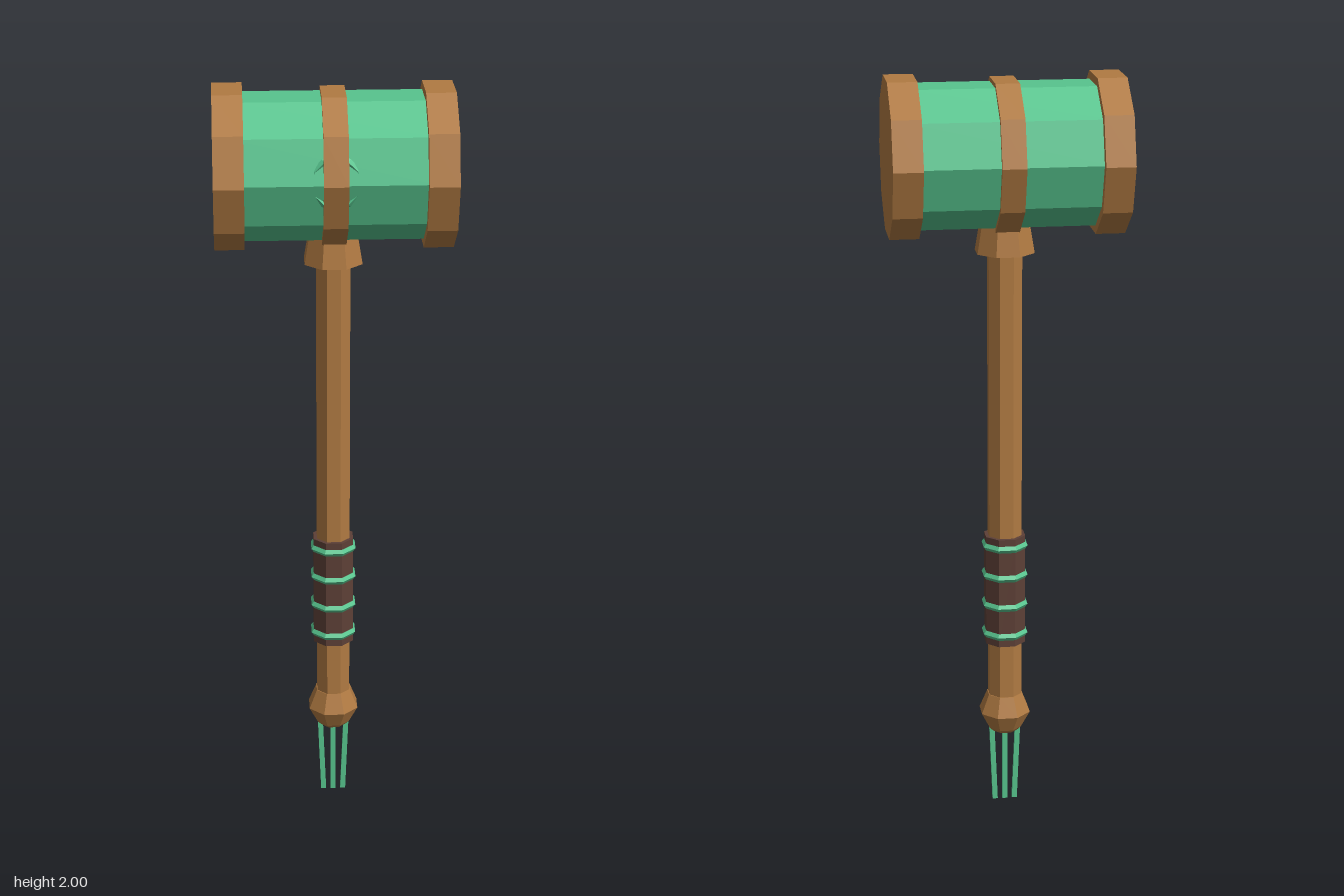
import * as THREE from 'three';

const flat = (name, color) => {
  const m = new THREE.MeshStandardMaterial({ color, flatShading: true });
  m.name = name;
  return m;
};

export function createModel() {
  const wood = flat('wood', 0xb07a42);
  const green = flat('green', 0x57c48e);
  const leather = flat('leather', 0x5d4037);

  const model = new THREE.Group();
  model.name = 'mallet';
  const add = (name, geometry, material, x = 0, y = 0, z = 0) => {
    const mesh = new THREE.Mesh(geometry, material);
    mesh.name = name;
    mesh.position.set(x, y, z);
    model.add(mesh);
    return mesh;
  };

  // Ten-sided head lying along x
  const headY = 1.802;
  const drum = (name, radius, length, material, x = 0) =>
    add(name, new THREE.CylinderGeometry(radius, radius, length, 10).rotateZ(Math.PI / 2), material, x, headY);
  drum('headBarrel', 0.187, 0.5, green);
  drum('headBand', 0.199, 0.062, wood);
  for (const side of [-1, 1]) drum('headCap', 0.209, 0.076, wood, side * 0.264);

  // Ring emblem half sunk into the front of the head
  add('emblemRing', new THREE.TorusGeometry(0.061, 0.009, 4, 12), green, 0, 1.805, 0.169);

  // Eight-sided handle parts, with a flat side facing the front
  const post = (name, top, bottom, y0, y1, material) =>
    add(name, new THREE.CylinderGeometry(top, bottom, y1 - y0, 8, 1, false, Math.PI / 8), material, 0, (y0 + y1) / 2);
  post('shaft', 0.047, 0.047, 0.28, 1.65, wood);
  post('collar', 0.066, 0.08, 1.55, 1.63, wood);
  post('grip', 0.057, 0.057, 0.472, 0.778, leather);
  for (const y of [0.5, 0.583, 0.667, 0.75]) {
    const ring = new THREE.TorusGeometry(0.053, 0.011, 5, 8).rotateX(Math.PI / 2).rotateY(Math.PI / 8);
    add('gripRing', ring, green, 0, y);
  }

  // Faceted pommel
  const profile = [[0, 0.205], [0.036, 0.21], [0.046, 0.22], [0.071, 0.267], [0.049, 0.32], [0, 0.322]];
  add('pommel', new THREE.LatheGeometry(profile.map(([r, y]) => new THREE.Vector2(r, y)), 8, Math.PI / 8), wood);

  // Three hanging strands, drawn in slightly towards the bottom
  for (const side of [-1, 0, 1]) {
    const strand = add('tasselStrand', new THREE.BoxGeometry(0.014, 0.22, 0.01), green, side * 0.031, 0.11);
    strand.rotation.z = -side * 0.04;
  }
  return model;
}
